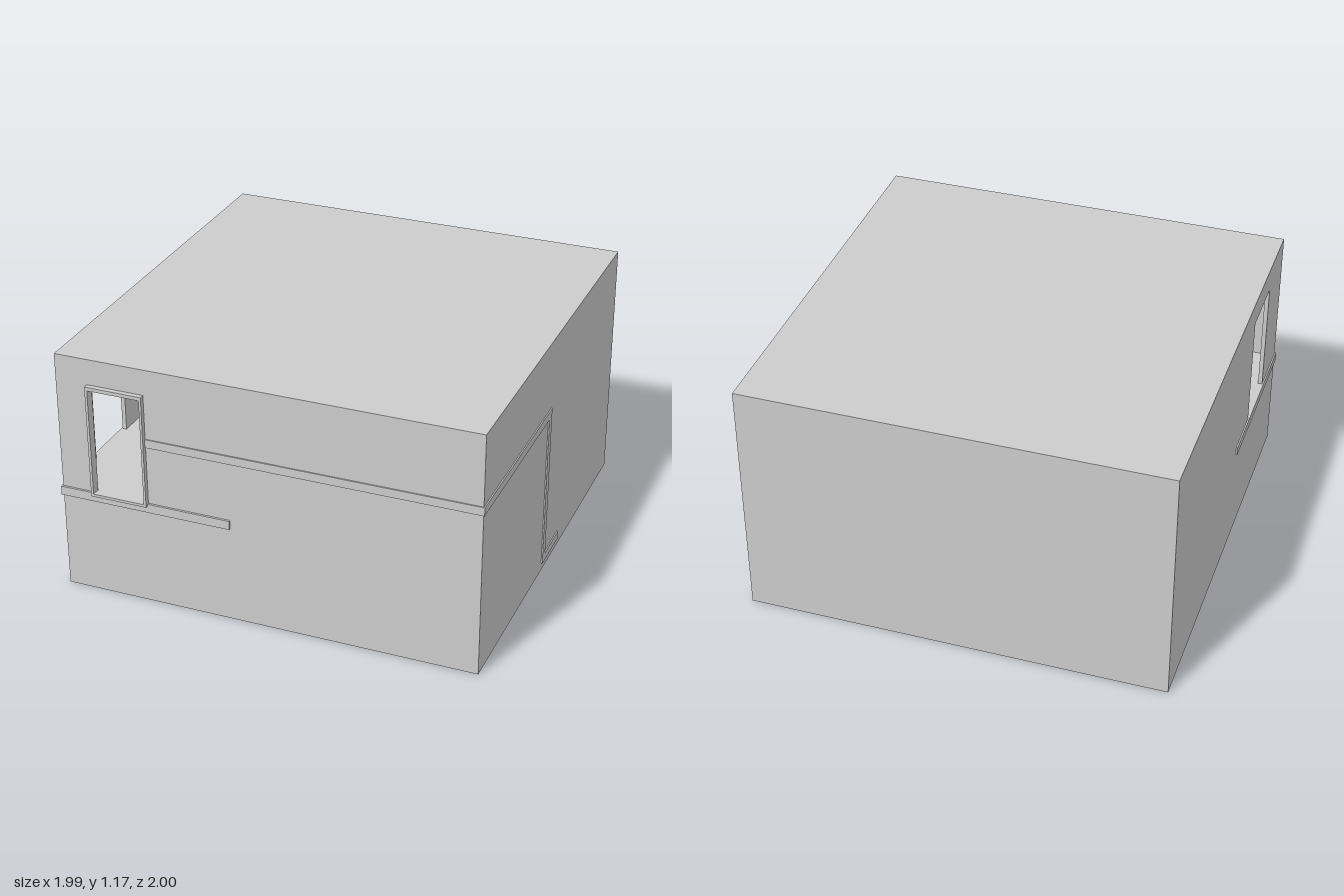
import * as THREE from 'three';

const material = new THREE.MeshStandardMaterial({ color: 0xcccccc, flatShading: true });

// Outer limits of the building and wall thickness
const X0 = -0.99, X1 = 0.987, Z0 = -1, Z1 = 0.976, H = 1.17, T = 0.02;

function add(group, name, geometry) {
  const mesh = new THREE.Mesh(geometry, material);
  mesh.name = name;
  group.add(mesh);
  return mesh;
}

// Box given by its limits on each axis
function block(group, name, [xa, xb], [ya, yb], [za, zb]) {
  const mesh = add(group, name, new THREE.BoxGeometry(xb - xa, yb - ya, zb - za));
  mesh.position.set((xa + xb) / 2, (ya + yb) / 2, (za + zb) / 2);
  return mesh;
}

function rectangle(Kind, [xa, xb], [ya, yb]) {
  const r = new Kind();
  r.moveTo(xa, ya).lineTo(xb, ya).lineTo(xb, yb).lineTo(xa, yb).closePath();
  return r;
}

// Flat panel with one rectangular opening
function panel(x, y, holeX, holeY, depth) {
  const shape = rectangle(THREE.Shape, x, y);
  shape.holes.push(rectangle(THREE.Path, holeX, holeY));
  return new THREE.ExtrudeGeometry(shape, { depth, bevelEnabled: false });
}

export function createModel() {
  const model = new THREE.Group();
  model.name = 'building';

  // Walls, two of them with a window opening
  const front = add(model, 'frontWall', panel([X0, X1], [0, H], [-0.825, -0.576], [0.51, 1.03], T));
  front.position.z = Z1 - T;
  const side = add(model, 'windowSideWall', panel([Z0, Z1 - T], [0, H], [0.4, 0.7], [0.51, 1.05], T));
  side.rotation.y = -Math.PI / 2;
  side.position.x = X0 + T;
  block(model, 'backWall', [X0 + T, X1], [0, H], [Z0, Z0 + T]);
  block(model, 'plainSideWall', [X1 - T, X1], [0, H], [Z0 + T, Z1 - T]);

  // Solid base with the room floor on top, and the roof
  block(model, 'floor', [X0 + T, X1 - T], [0, 0.51], [Z0 + T, Z1 - T]);
  block(model, 'roof', [X0 + T, X1 - T], [H - T, H], [Z0 + T, Z1 - T]);

  // Raised frame around the front window
  const frame = add(model, 'windowFrame',
    panel([-0.837, -0.565], [0.5, 1.047], [-0.825, -0.576], [0.513, 1.03], 1 - Z1));
  frame.position.z = Z1;

  // Lower band, wrapping round the window corner
  const low = [0.467, 0.51], lowX = -0.997, bandZ = 0.986;
  block(model, 'lowerBandFront', [lowX, -0.17], low, [Z1, bandZ]);
  block(model, 'lowerBandSide', [lowX, X0], low, [0.16, Z1]);

  // Upper band, wrapping round the other corner and stepping down to the ground
  const high = [0.793, 0.833], sideX = [X1, 0.993];
  block(model, 'upperBandFront', [-0.565, sideX[1]], high, [Z1, 0.982]);
  block(model, 'upperBandSide', sideX, high, [0.04, Z1]);
  block(model, 'bandDrop', sideX, [0.037, high[0]], [0.04, 0.078]);
  block(model, 'bandFoot', sideX, [0.037, 0.075], [-0.17, 0.04]);

  return model;
}
